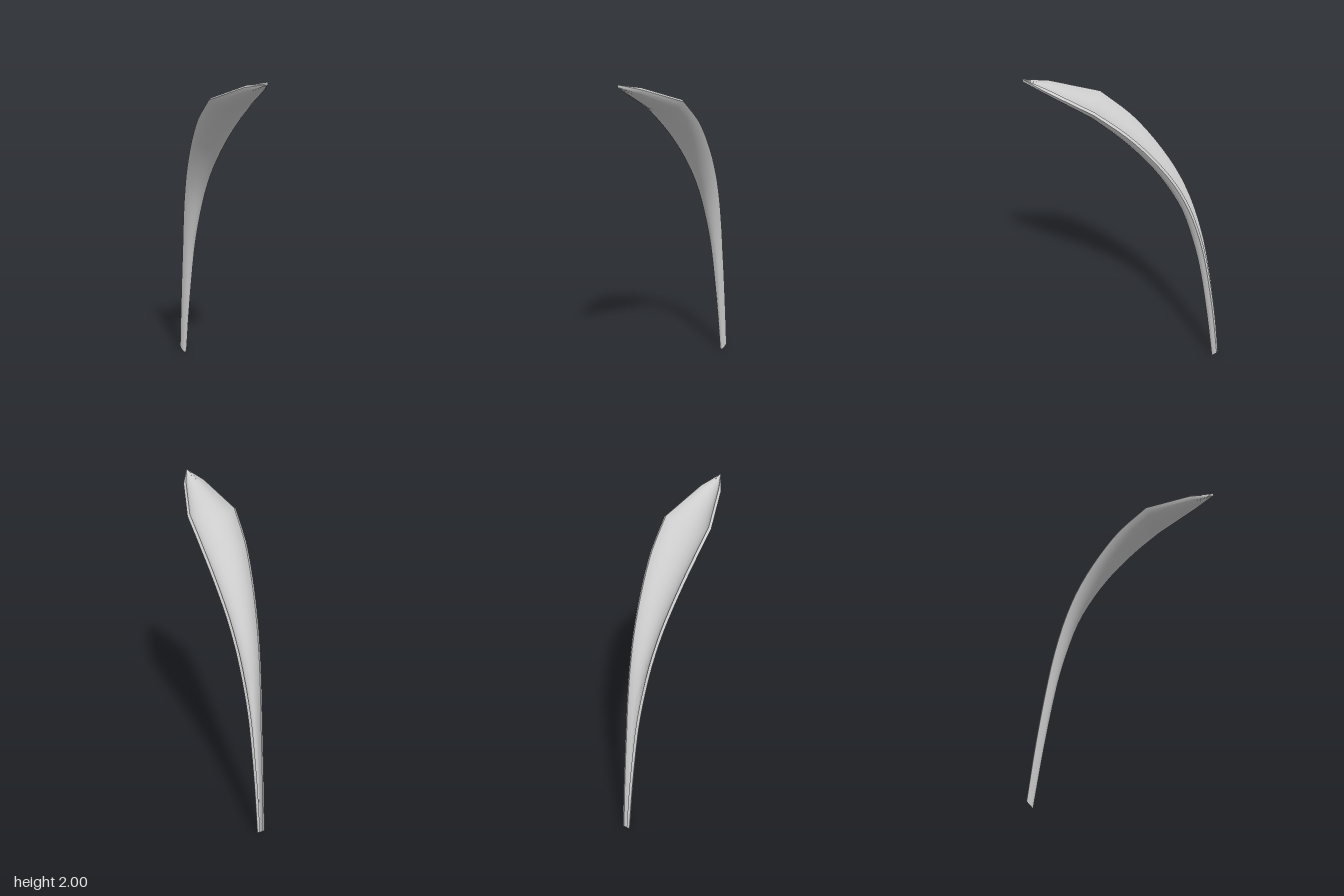
import * as THREE from 'three';
import { toCreasedNormals } from 'three/addons/utils/BufferGeometryUtils.js';

// Stations from foot to tip: rim z, rim y, keel z, keel y, half width
const STATIONS = [
  [-0.60, 0.05, -0.56, 0.003, 0.024],
  [-0.557, 0.40, -0.508, 0.37, 0.031],
  [-0.49, 0.80, -0.438, 0.77, 0.043],
  [-0.446, 0.99, -0.39, 0.96, 0.055],
  [-0.37, 1.22, -0.312, 1.19, 0.074],
  [-0.275, 1.41, -0.21, 1.37, 0.095],
  [-0.14, 1.595, -0.085, 1.535, 0.121],
  [0.0, 1.742, 0.05, 1.67, 0.142],
  [0.18, 1.878, 0.21, 1.80, 0.153],
  [0.46, 1.972, 0.475, 1.925, 0.07],
  [0.60, 2.0, 0.60, 1.984, 0],
];
const SMOOTH = 9; // stations joined by a smooth curve; the tip facets stay straight
const SEG = 12; // segments across the trough
const ARC = THREE.MathUtils.degToRad(70);

function sections() {
  const curve = (a, b) => new THREE.CatmullRomCurve3(
    STATIONS.slice(0, SMOOTH).map((s) => new THREE.Vector3(a(s), b(s), 0)));
  const rim = curve((s) => s[0], (s) => s[1]);
  const keel = curve((s) => s[2], (s) => s[3]);
  const width = curve((s) => s[4], () => 0);
  const list = [];
  const steps = (SMOOTH - 1) * 3;
  for (let i = 0; i <= steps; i++) {
    const r = rim.getPoint(i / steps);
    const k = keel.getPoint(i / steps);
    list.push([r.x, r.y, k.x, k.y, width.getPoint(i / steps).x]);
  }
  return list.concat(STATIONS.slice(SMOOTH));
}

// Closed cross-section: outer arc left to right, then inner arc back
function profile([rz, ry, kz, ky, w]) {
  const depth = Math.hypot(kz - rz, ky - ry);
  const dz = (kz - rz) / depth;
  const dy = (ky - ry) / depth;
  const arc = (half, from, to) => Array.from({ length: SEG + 1 }, (_, j) => {
    const a = ARC * (2 * j / SEG - 1);
    const d = from + (to - from) * (Math.cos(a) - Math.cos(ARC)) / (1 - Math.cos(ARC));
    return [half * Math.sin(a) / Math.sin(ARC), ry + dy * d, rz + dz * d];
  });
  const outer = arc(w, 0.012, depth);
  const inner = arc(Math.max(w - 0.014, Math.min(w, 0.004)), 0, Math.max(depth - 0.018, 0.002));
  return outer.concat(inner.reverse());
}

function bladeGeometry() {
  const rows = sections().map(profile);
  const n = rows[0].length;
  const index = [];
  for (let i = 0; i < rows.length - 1; i++) {
    for (let j = 0; j < n; j++) {
      const a = i * n + j;
      const b = i * n + (j + 1) % n;
      index.push(a, b, b + n, a, b + n, a + n);
    }
  }
  // Foot end cap between the outer and inner arcs
  for (let j = 0; j < SEG; j++) {
    const inA = n - 1 - j;
    index.push(j, inA, j + 1, j + 1, inA, inA - 1);
  }
  const geometry = new THREE.BufferGeometry();
  geometry.setAttribute('position', new THREE.Float32BufferAttribute(rows.flat(2), 3));
  geometry.setIndex(index);
  return toCreasedNormals(geometry, 0.7);
}

export function createModel() {
  const group = new THREE.Group();
  group.name = 'curvedLeaf';
  const blade = new THREE.Mesh(bladeGeometry(),
    new THREE.MeshStandardMaterial({ color: 0xcccccc, side: THREE.DoubleSide }));
  blade.name = 'leafBlade';
  group.add(blade);
  return group;
}
